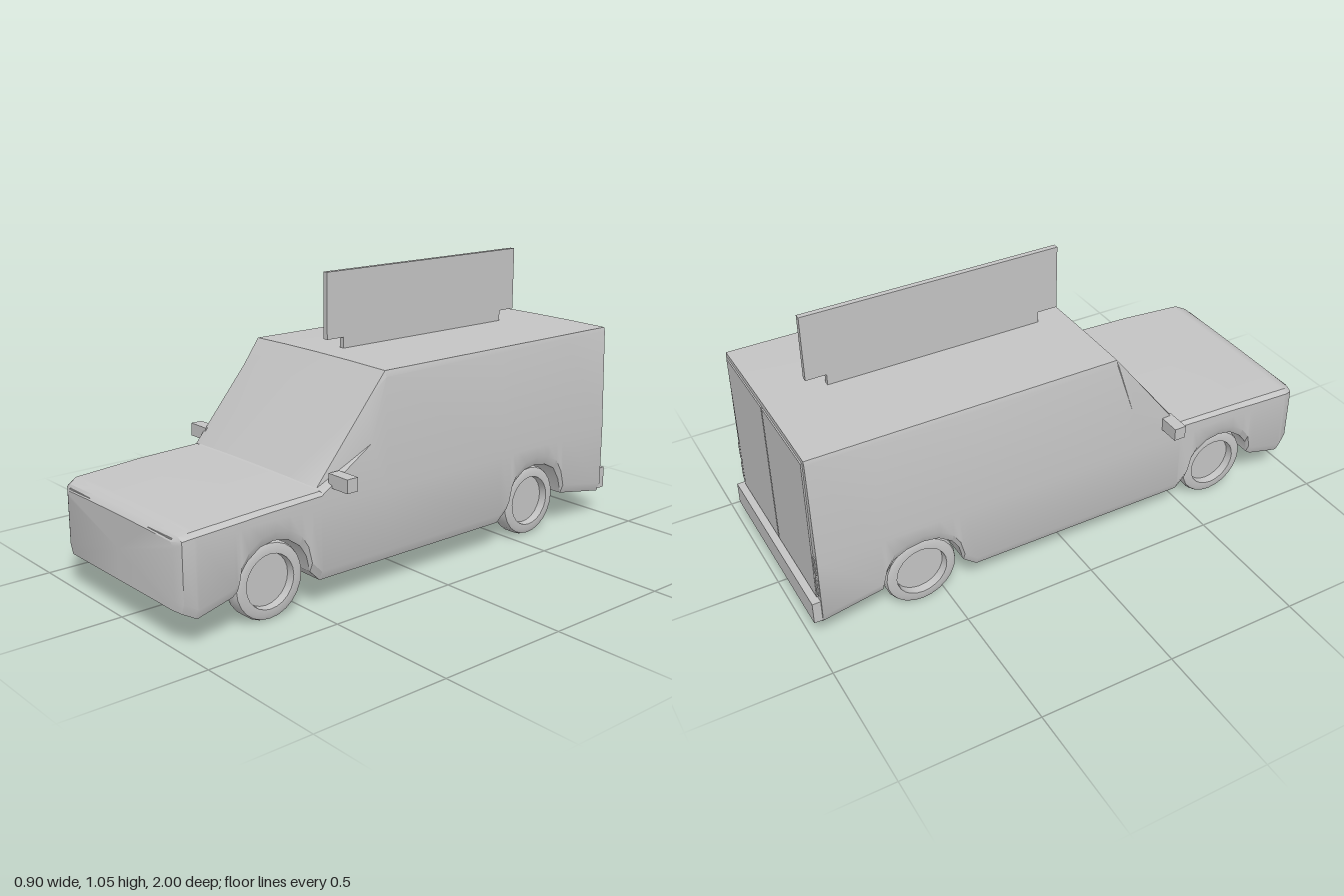
import * as THREE from 'three';
import { toCreasedNormals } from 'three/addons/utils/BufferGeometryUtils.js';

const grey = new THREE.MeshStandardMaterial({ color: 0xc4c4c4 });
grey.name = 'plain grey';

// Underside line, front to back: [z, y], with both wheel arches
const bottomLine = [
  [1, 0.13], [0.985, 0.122], [0.94, 0.1], [0.81, 0.135], [0.79, 0.15], [0.78, 0.2], [0.75, 0.24], [0.7, 0.275],
  [0.645, 0.285], [0.59, 0.275], [0.54, 0.24], [0.515, 0.2], [0.5, 0.14], [0.46, 0.1],
  [-0.39, 0.1], [-0.44, 0.14], [-0.455, 0.2], [-0.48, 0.24], [-0.53, 0.275], [-0.59, 0.285],
  [-0.65, 0.275], [-0.7, 0.25], [-0.73, 0.2], [-0.745, 0.14], [-0.97, 0.1],
];
// Upper line: [z, top y, shoulder y, top half width]
const topLine = [
  [1, 0.355, 0.345, 0.315], [0.985, 0.372, 0.36, 0.335], [0.95, 0.385, 0.37, 0.355], [0.7, 0.4, 0.385, 0.36],
  [0.455, 0.408, 0.395, 0.36], [0.45, 0.41, 0.4, 0.335], [0.24, 0.676, 0.53, 0.349],
  [0.17, 0.766, 0.745, 0.355], [-0.97, 0.766, 0.75, 0.355],
];
// Widest half width: [z, x]
const widthLine = [[1, 0.325], [0.985, 0.355], [0.95, 0.372], [0.8, 0.375], [-0.97, 0.371]];

// Reads a table whose z falls from row to row
function sample(table, z) {
  let i = 0;
  while (i < table.length - 2 && z < table[i + 1][0]) i++;
  const a = table[i], b = table[i + 1];
  const t = (z - a[0]) / (b[0] - a[0]);
  return a.slice(1).map((v, k) => v + (b[k + 1] - v) * t);
}

// One closed cross-section, counterclockwise from the front
function bodySection(z) {
  const [yb] = sample(bottomLine, z);
  const [yt, ys, wt] = sample(topLine, z);
  const [w] = sample(widthLine, z);
  const half = [
    [0, yb], [w - 0.014, yb], [w, yb + 0.034], [w, Math.min(0.36, ys - 0.012)],
    [w - Math.max(0, ys - 0.36) * 0.03, ys], [wt, yt], [0.18, yt + 0.003], [0, yt + 0.004],
  ];
  const mirrored = half.slice(1, -1).reverse().map(([x, y]) => [-x, y]);
  return [...half, ...mirrored].map(([x, y]) => [x, y, z]);
}

function bodyGeometry() {
  const zs = [...new Set([...bottomLine, ...topLine, ...widthLine].map((r) => r[0]))].sort((a, b) => b - a);
  const rings = zs.map(bodySection);
  const n = rings[0].length;
  const pos = rings.flat(2);
  const idx = [];
  for (let i = 0; i < rings.length - 1; i++) {
    for (let j = 0; j < n; j++) {
      const k = (j + 1) % n;
      const a = i * n + j, b = (i + 1) * n + j, c = i * n + k, d = (i + 1) * n + k;
      idx.push(a, b, c, c, b, d);
    }
  }
  // Nose and tail caps
  const last = (rings.length - 1) * n;
  const nose = rings.length * n, tail = nose + 1;
  pos.push(0, 0.24, 1, 0, 0.43, -0.97);
  for (let j = 0; j < n; j++) {
    const k = (j + 1) % n;
    idx.push(nose, j, k, tail, last + k, last + j);
  }
  const g = new THREE.BufferGeometry();
  g.setAttribute('position', new THREE.Float32BufferAttribute(pos, 3));
  g.setIndex(idx);
  return toCreasedNormals(g, 0.5);
}

function wheelGeometry() {
  const profile = [
    [0, -0.0375], [0.118, -0.0375], [0.13, -0.032], [0.135, -0.02], [0.135, 0.02],
    [0.13, 0.032], [0.118, 0.0375], [0.095, 0.0375], [0.092, 0.008], [0, 0.008],
  ].map(([r, y]) => new THREE.Vector2(r, y));
  return toCreasedNormals(new THREE.LatheGeometry(profile, 24), 0.6);
}

export function createModel() {
  const group = new THREE.Group();
  const add = (name, geometry, x = 0, y = 0, z = 0) => {
    const m = new THREE.Mesh(geometry, grey);
    m.name = name;
    m.position.set(x, y, z);
    group.add(m);
    return m;
  };
  // Box from its extents
  const box = (name, x0, x1, y0, y1, z0, z1) =>
    add(name, new THREE.BoxGeometry(x1 - x0, y1 - y0, z1 - z0), (x0 + x1) / 2, (y0 + y1) / 2, (z0 + z1) / 2);

  add('body', bodyGeometry());

  // Roof sign on its narrow base
  box('signBase', -0.01, 0.01, 0.76, 0.812, -0.745, 0.06);
  box('signBoard', -0.01, 0.01, 0.81, 1.05, -0.82, 0.135);

  box('rearBumper', -0.365, 0.365, 0.112, 0.195, -1, -0.965);

  const wheel = wheelGeometry();
  for (const s of [1, -1]) {
    const side = s > 0 ? 'left' : 'right';
    const sideBox = (name, x0, x1, ...rest) => box(side + name, Math.min(s * x0, s * x1), Math.max(s * x0, s * x1), ...rest);

    sideBox('Mirror', 0.355, 0.45, 0.412, 0.46, 0.37, 0.415);
    sideBox('Headlight', 0.18, 0.315, 0.353, 0.364, 0.975, 0.996);
    sideBox('RearDoor', 0.003, 0.342, 0.2, 0.75, -0.975, -0.968);
    // Stacked lamps beside the rear doors
    for (const [y0, y1] of [[0.22, 0.29], [0.31, 0.38]]) sideBox('TailLamp', 0.348, 0.364, y0, y1, -0.974, -0.968);

    for (const [end, z] of [['Front', 0.645], ['Rear', -0.59]]) {
      const w = add(side + end + 'Wheel', wheel, s * 0.301, 0.137, z);
      w.rotation.z = -s * Math.PI / 2;
    }
  }
  return group;
}
